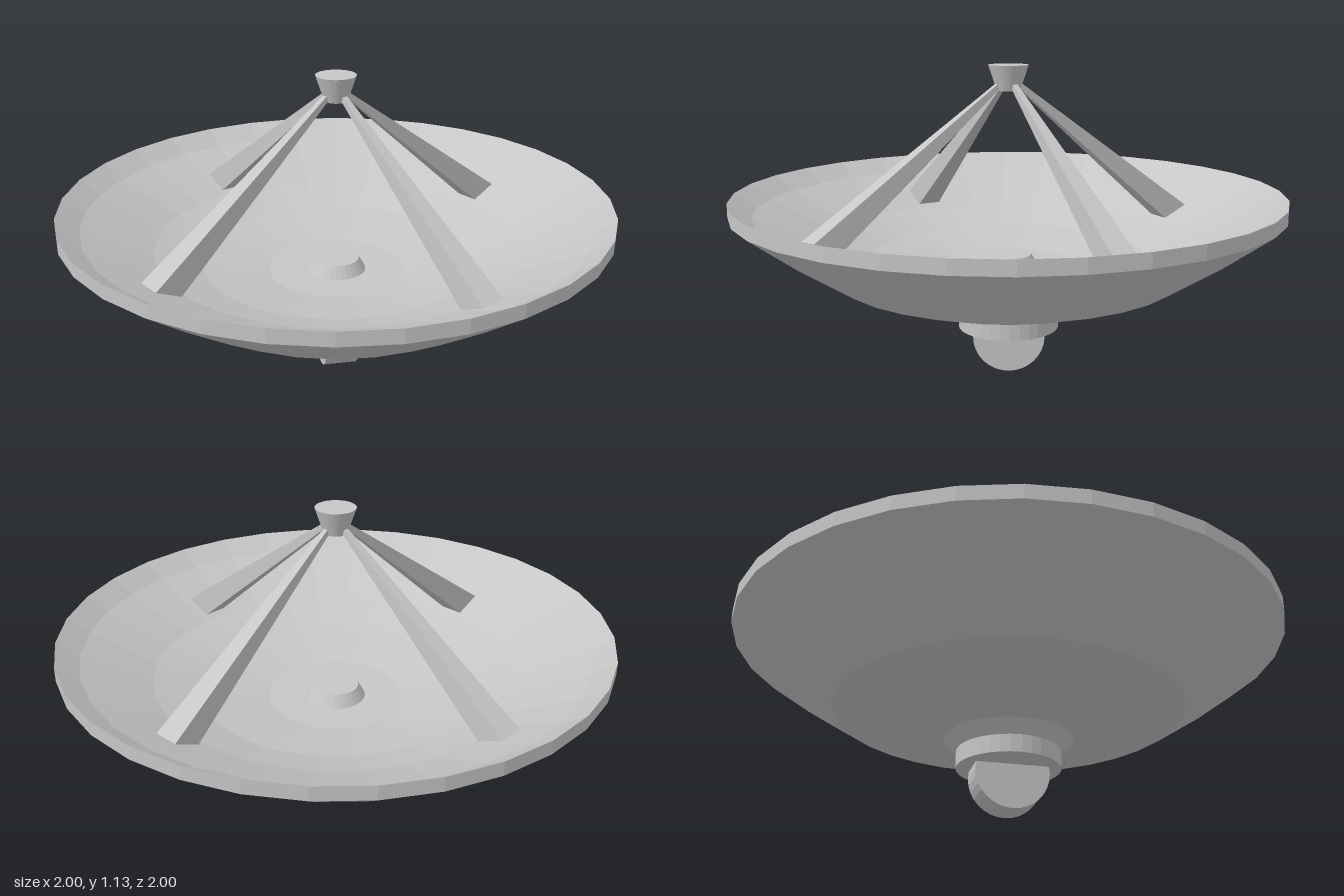
import * as THREE from 'three';

export function createModel() {
  const model = new THREE.Group();
  const grey = new THREE.MeshStandardMaterial({ color: 0xc6c6c6, flatShading: true });
  grey.name = 'light grey';

  function add(name, geometry, y = 0) {
    const mesh = new THREE.Mesh(geometry, grey);
    mesh.name = name;
    mesh.position.y = y;
    model.add(mesh);
    return mesh;
  }

  // Dish: outer bowl, upright rim, then the shallower inner bowl
  const profile = [
    [0, 0.265], [0.23, 0.267], [0.487, 0.317], [0.635, 0.368], [0.83, 0.495], [1, 0.62],
    [1, 0.67], [0.92, 0.615], [0.67, 0.497], [0.5, 0.44], [0.25, 0.395], [0, 0.39],
  ].map(([r, y]) => new THREE.Vector2(r, y));
  add('dish', new THREE.LatheGeometry(profile, 32));

  // Mount under the dish
  add('mountCollar', new THREE.CylinderGeometry(0.23, 0.187, 0.045, 32), 0.2445);
  add('mountRing', new THREE.CylinderGeometry(0.187, 0.187, 0.063, 32), 0.1905);
  const pivot = add('pivotDisc', new THREE.CylinderGeometry(0.133, 0.133, 0.124, 32), 0.133);
  pivot.rotation.z = Math.PI / 2;

  // Raised hub in the bowl and the feed at the focus
  add('hub', new THREE.CylinderGeometry(0.085, 0.113, 0.05, 32), 0.412);
  add('feed', new THREE.CylinderGeometry(0.073, 0.042, 0.092, 32), 1.086);

  // Four tapered square struts from the bowl to the feed
  const up = new THREE.Vector3(0, 1, 0);
  const top = new THREE.Vector3(0, 1.068, 0.03);
  const foot = new THREE.Vector3(0, 0.51, 0.764);
  const axis = top.clone().sub(foot);
  for (let i = 0; i < 4; i++) {
    const geometry = new THREE.CylinderGeometry(0.012, 0.068, axis.length(), 4);
    geometry.rotateY(Math.PI / 4);
    geometry.applyQuaternion(new THREE.Quaternion().setFromUnitVectors(up, axis.clone().normalize()));
    geometry.translate(0, (top.y + foot.y) / 2, (top.z + foot.z) / 2);
    add('strut' + (i + 1), geometry).rotation.y = THREE.MathUtils.degToRad(28) + i * Math.PI / 2;
  }

  return model;
}
